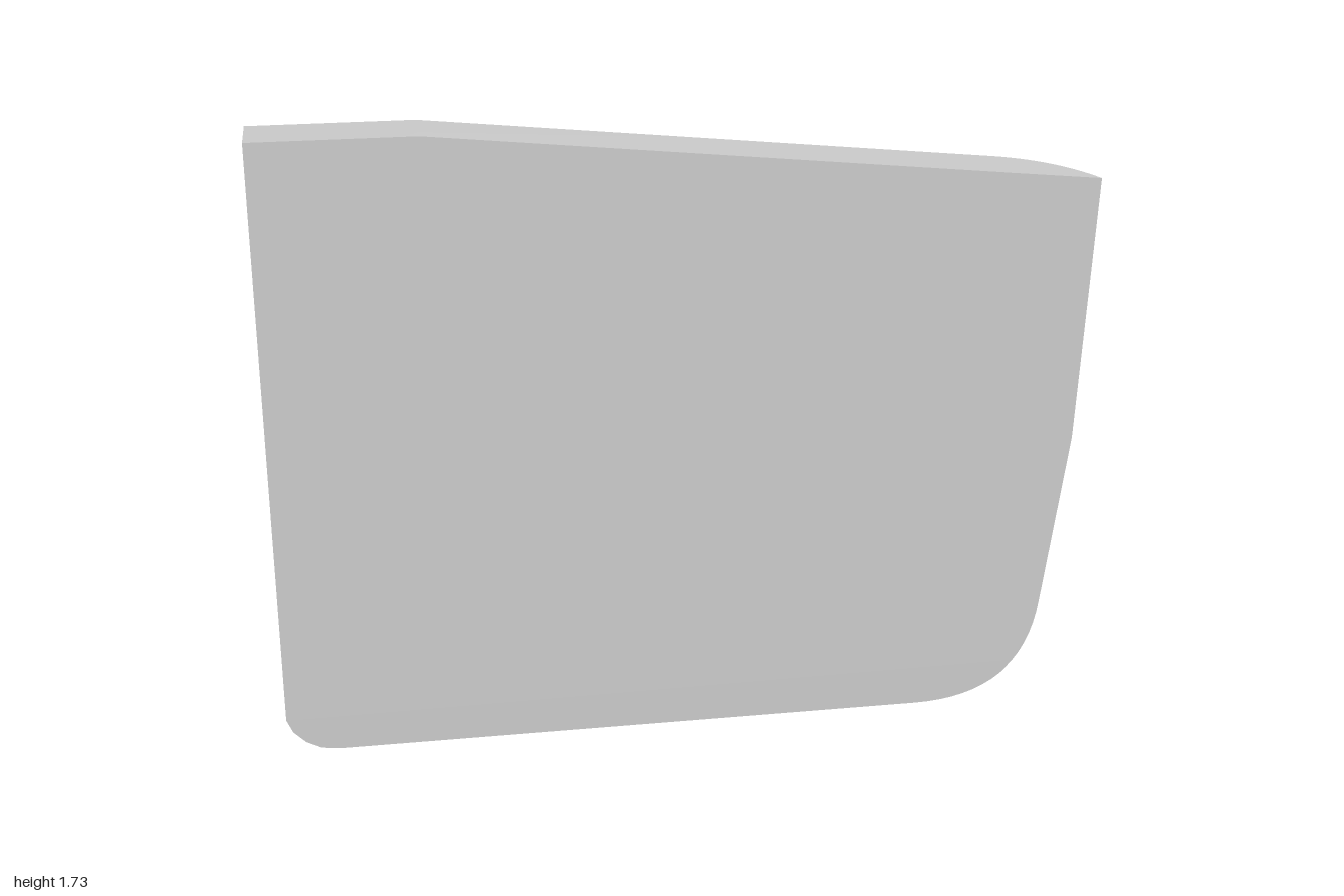
import * as THREE from 'three';
import { toCreasedNormals } from 'three/addons/utils/BufferGeometryUtils.js';

const FRONT = 0.315, BACK = -0.315;
const v = (x, y, z) => new THREE.Vector3(x, y, z);

// Matching rails, clockwise from the front: a = front rim, b = back rim
function makeRails() {
  const a = [], b = [];
  const add = (ax, ay, bx, by, az = FRONT) => { a.push(v(ax, ay, az)); b.push(v(bx, by, BACK)); };
  const arc = (a0, a1, a2, b0, b1, b2, n) => {
    a.push(...new THREE.QuadraticBezierCurve3(a0, a1, a2).getPoints(n));
    b.push(...new THREE.QuadraticBezierCurve3(b0, b1, b2).getPoints(n));
  };
  // left bevel and sloping back
  add(-1, 1.73, -1, 0.78, 0.16);
  add(-1, 1.73, -0.915, 0.925, 0.16);
  add(-0.61, 1.73, 0.667, 0.925, 0.16);
  // rounded upper corner, sweeping forward to the front face
  arc(v(0.77, 1.588, 0.16), v(0.93, 1.572, 0.16), v(1, 1.565, FRONT),
    v(0.667, 0.925, BACK), v(0.95, 0.925, BACK), v(0.935, 0.6, BACK), 16);
  // side wall
  add(0.975, 0.9, 0.935, 0.6);
  // large lower corner
  arc(v(0.92, 0.45, FRONT), v(0.89, 0.18, FRONT), v(0.6, 0.18, FRONT),
    v(0.912, 0.38, BACK), v(0.855, 0, BACK), v(0.58, 0, BACK), 16);
  // underside and small lower corner
  add(-0.87, 0.18, -0.7, 0);
  add(-0.9, 0.183, -0.73, 0.005);
  add(-0.92, 0.187, -0.755, 0.022);
  add(-0.955, 0.205, -0.965, 0.2);
  add(-0.985, 0.235, -0.99, 0.22);
  add(-1, 0.27, -1, 0.26);
  // flat wall
  add(-1, 1.73, -1, 0.78);
  add(-1, 1.73, -1, 0.78, 0.16);
  return { a, b };
}

// Skin between two rails, leaving out collapsed triangles
function loft(near, far) {
  const pos = [];
  const tri = (p, q, r) => {
    if (new THREE.Triangle(p, q, r).getArea() < 1e-6) return;
    for (const c of [p, q, r]) pos.push(c.x, c.y, c.z);
  };
  for (let i = 0; i < near.length - 1; i++) {
    tri(near[i], near[i + 1], far[i + 1]);
    tri(near[i], far[i + 1], far[i]);
  }
  const g = new THREE.BufferGeometry();
  g.setAttribute('position', new THREE.Float32BufferAttribute(pos, 3));
  return toCreasedNormals(g, THREE.MathUtils.degToRad(25));
}

// Flat end face from a rail, optionally mirrored to face backwards
function cap(rail, z, sign) {
  const pts = rail.map(p => new THREE.Vector2(p.x * sign, p.y))
    .filter((p, i, all) => i === 0 || p.distanceTo(all[i - 1]) > 1e-4);
  if (pts[0].distanceTo(pts[pts.length - 1]) < 1e-4) pts.pop();
  const g = new THREE.ShapeGeometry(new THREE.Shape(pts));
  if (sign < 0) g.rotateY(Math.PI);
  return g.translate(0, 0, z);
}

export function createModel() {
  const group = new THREE.Group();
  group.name = 'taperedBlock';
  const grey = new THREE.MeshStandardMaterial({ color: 0xcccccc });
  grey.name = 'light grey';
  const add = (name, geometry) => {
    const mesh = new THREE.Mesh(geometry, grey);
    mesh.name = name;
    group.add(mesh);
  };

  const { a, b } = makeRails();
  const rim = a.map(p => v(p.x, p.y, FRONT));
  add('sideSkin', loft(a, b));
  add('topLedge', loft(rim, a));
  add('frontFace', cap(a, FRONT, 1));
  add('backFace', cap(b, BACK, -1));
  return group;
}
